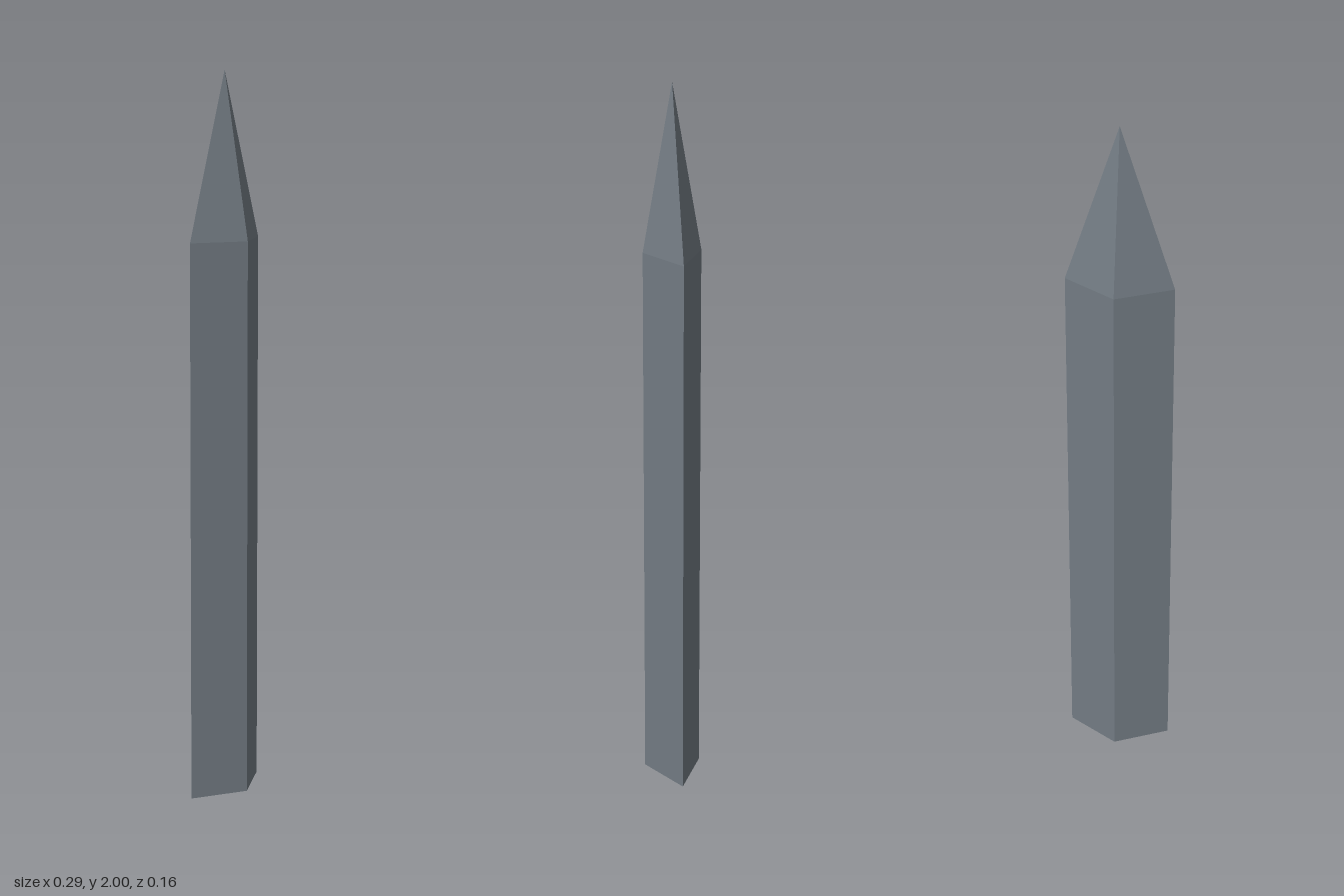
import * as THREE from 'three';

const HALF_WIDTH = 0.147;
const HALF_DEPTH = 0.08;
const SHOULDER = 1.545;
const HEIGHT = 2;

export function createModel() {
  const group = new THREE.Group();
  group.name = 'blade';
  const material = new THREE.MeshStandardMaterial({ color: 0x737c84, flatShading: true });

  // Four-sided solid with a diamond cross-section, from a [radius, height] profile
  const addDiamond = (name, profile) => {
    const points = profile.map(([r, y]) => new THREE.Vector2(r, y));
    const geometry = new THREE.LatheGeometry(points, 4).scale(HALF_WIDTH, 1, HALF_DEPTH);
    const mesh = new THREE.Mesh(geometry, material);
    mesh.name = name;
    group.add(mesh);
  };

  // Straight shaft with closed base
  addDiamond('shaft', [[0, 0], [1, 0], [1, SHOULDER]]);
  // Pointed tip
  addDiamond('tip', [[1, SHOULDER], [0, HEIGHT]]);

  return group;
}
